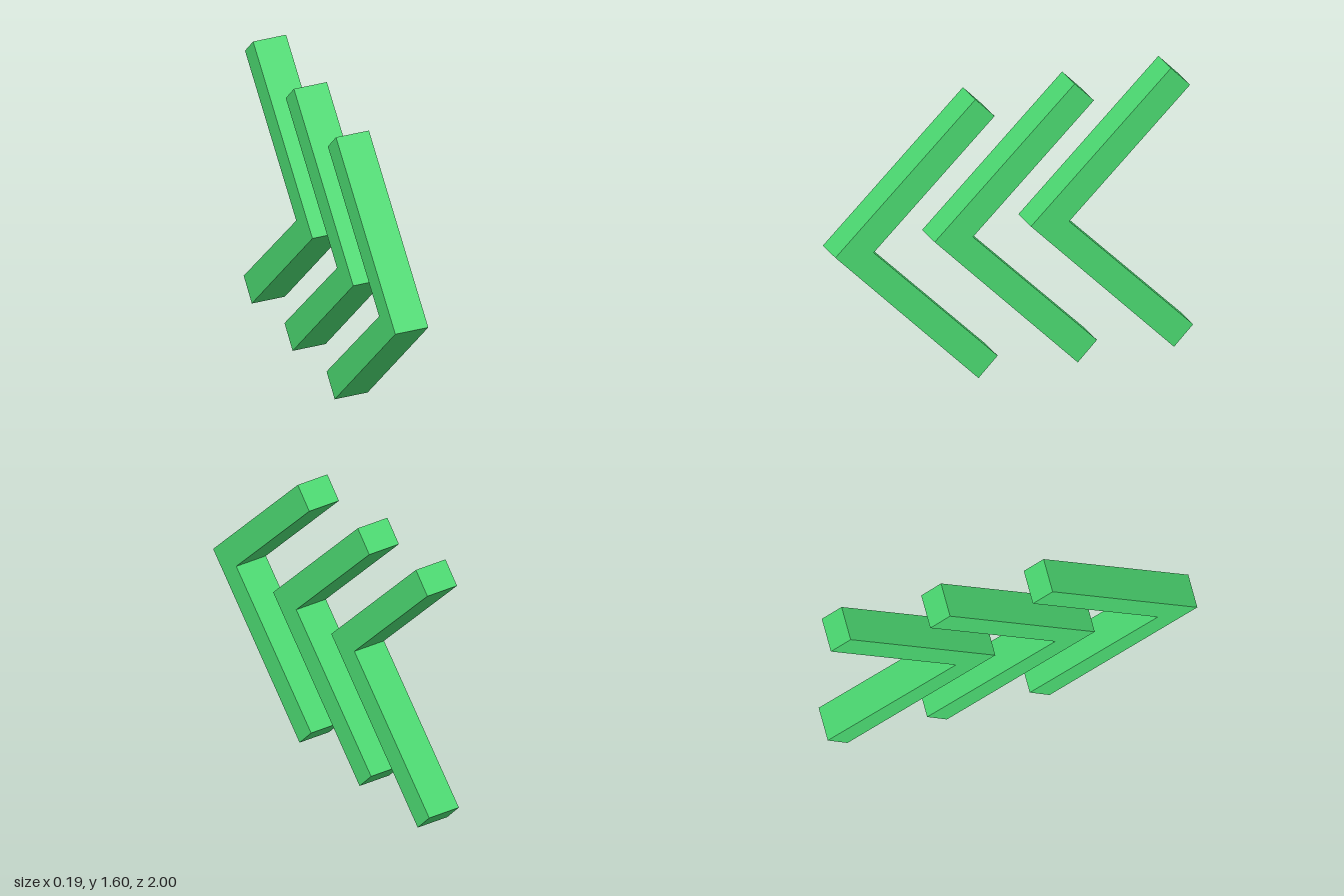
import * as THREE from 'three';

export function createModel() {
  const model = new THREE.Group();
  model.name = 'chevronArrows';

  const green = new THREE.MeshStandardMaterial({ color: 0x4bd971 });
  green.name = 'green';

  // Chevron outline as (z, y), tip pointing to the front
  const outline = [
    [0.2, 0], [1, 0.786], [0.217, 1.569], [0.11, 1.461], [0.786, 0.786], [0.093, 0.112],
  ].map(([z, y]) => new THREE.Vector2(z, y));

  const width = 0.188;
  const geometry = new THREE.ExtrudeGeometry(new THREE.Shape(outline), {
    depth: width, bevelEnabled: false,
  });
  geometry.translate(0, 0, -width / 2);
  geometry.rotateY(-Math.PI / 2); // outline x becomes z

  // Three chevrons in a row, each slightly higher than the one in front
  const chevrons = [
    ['frontChevron', 0, 0],
    ['middleChevron', 0.012, -0.555],
    ['rearChevron', 0.026, -1.093],
  ];
  for (const [name, y, z] of chevrons) {
    const chevron = new THREE.Mesh(geometry, green);
    chevron.name = name;
    chevron.position.set(0, y, z);
    model.add(chevron);
  }

  return model;
}
